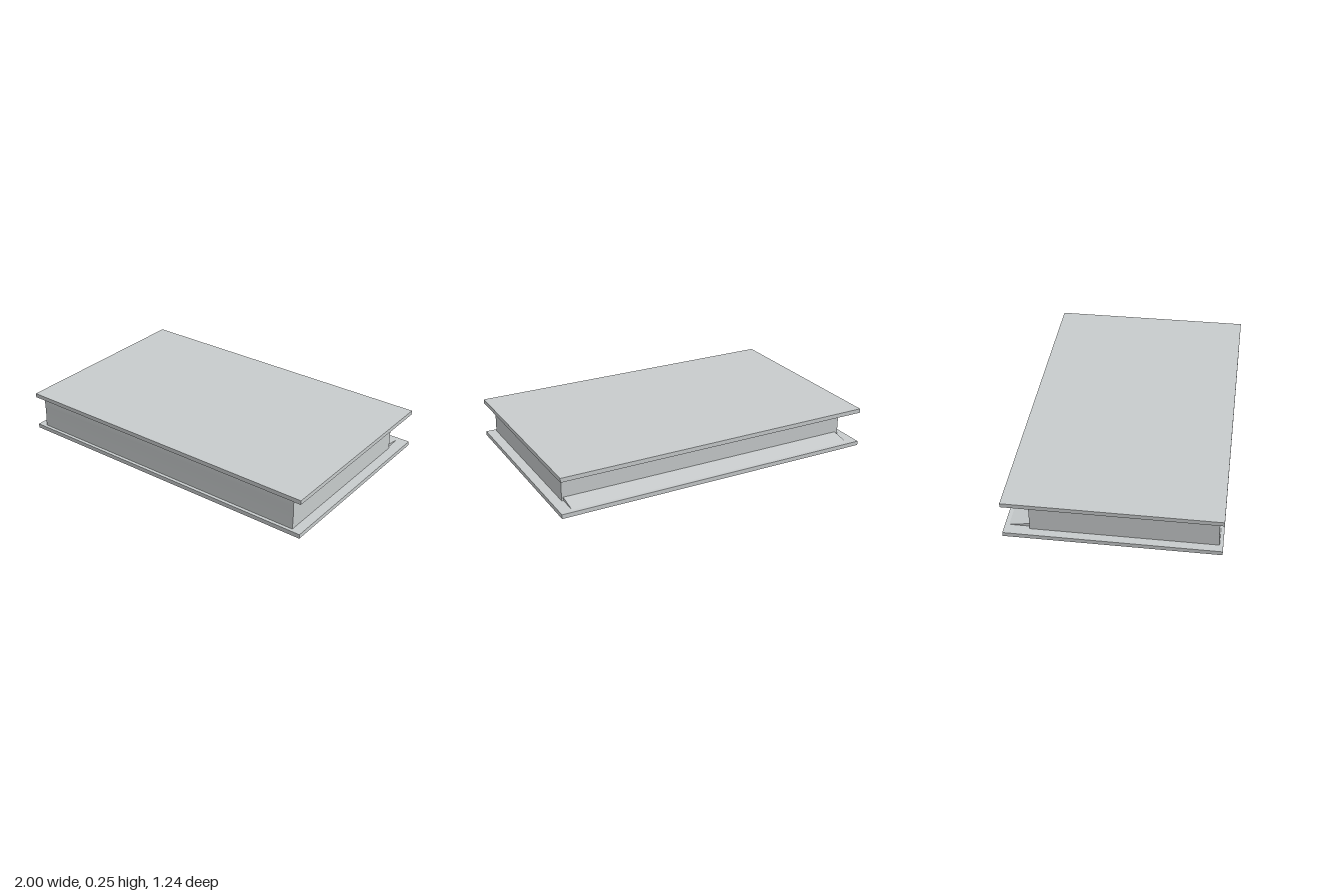
import * as THREE from 'three';
import { toCreasedNormals } from 'three/addons/utils/BufferGeometryUtils.js';

const paleGrey = new THREE.MeshStandardMaterial({ color: 0xc8cccd });
paleGrey.name = 'paleGrey';

function addPart(group, name, geometry) {
  const mesh = new THREE.Mesh(geometry, paleGrey);
  mesh.name = name;
  group.add(mesh);
  return mesh;
}

// Extrudes a side profile, drawn as (z, y), along x
function extrudeAcross(shape, xMin, xMax) {
  const geometry = new THREE.ExtrudeGeometry(shape, {
    depth: xMax - xMin, bevelEnabled: false, curveSegments: 6,
  });
  geometry.rotateY(-Math.PI / 2);
  geometry.translate(xMax, 0, 0);
  return toCreasedNormals(geometry, 0.7);
}

function polygon(points) {
  return new THREE.Shape(points.map(([z, y]) => new THREE.Vector2(z, y)));
}

export function createModel() {
  const book = new THREE.Group();
  book.name = 'book';

  // Thin covers, dipping slightly towards the back
  const covers = [
    ['bottomCover', 0.01, 0.036],
    ['topCover', 0.23, 0.256],
  ];
  for (const [name, low, high] of covers) {
    const profile = polygon([
      [-0.622, low - 0.004], [0.62, low], [0.62, high], [-0.622, high - 0.004],
    ]);
    addPart(book, name, extrudeAcross(profile, -1, 1));
  }

  // Page block with a softly rounded spine at the front
  const pages = new THREE.Shape();
  pages.moveTo(-0.475, 0.03);
  pages.lineTo(0.6, 0.03);
  pages.quadraticCurveTo(0.592, 0.12, 0.596, 0.2);
  pages.quadraticCurveTo(0.596, 0.222, 0.572, 0.222);
  pages.lineTo(-0.475, 0.224);
  pages.closePath();
  addPart(book, 'pageBlock', extrudeAcross(pages, -0.95, 0.94));

  // Low slope where the bottom cover rises to the pages at the back
  const slope = polygon([[-0.61, 0.03], [-0.47, 0.03], [-0.47, 0.054]]);
  addPart(book, 'backSlope', extrudeAcross(slope, -0.93, 0.93));

  return book;
}
